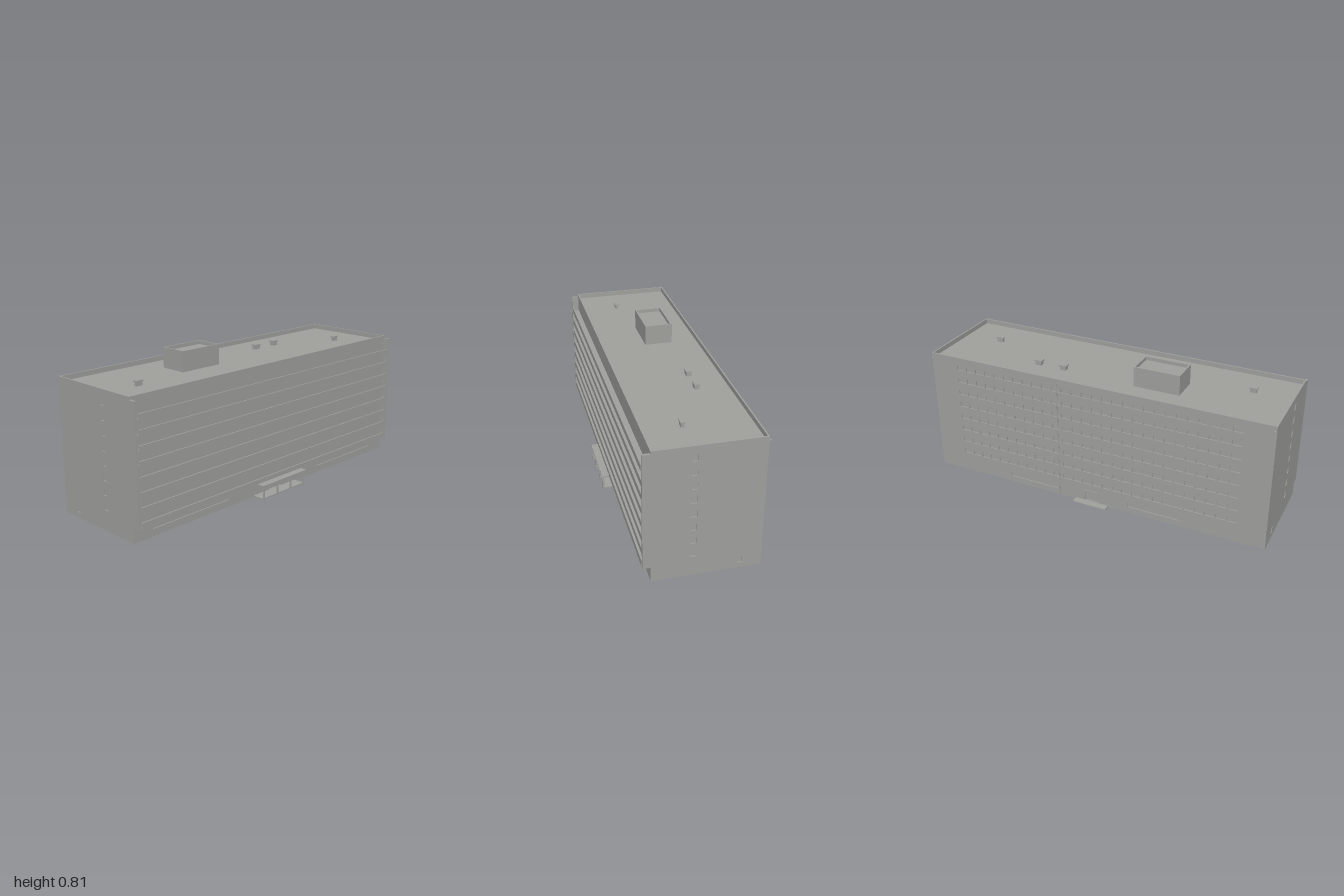
import * as THREE from 'three';

const concrete = new THREE.MeshStandardMaterial({ color: 0xa0a09d, side: THREE.DoubleSide });
concrete.name = 'concrete grey';

const FLOORS = 8, STEP = 0.077, FIRST = 0.08;
const TOP = 0.73, ROOF = 0.703, T = 0.008;

// Box given by its limits on each axis
function block(parent, name, x0, x1, y0, y1, z0, z1) {
  const mesh = new THREE.Mesh(new THREE.BoxGeometry(x1 - x0, y1 - y0, z1 - z0), concrete);
  mesh.position.set((x0 + x1) / 2, (y0 + y1) / 2, (z0 + z1) / 2);
  mesh.name = name;
  parent.add(mesh);
  return mesh;
}

// Wall with recessed openings [x0, x1, y0, y1]; its outer face looks along local +z
function wall(parent, name, width, openings, x, z, turn) {
  const group = new THREE.Group();
  group.name = name;
  const shape = new THREE.Shape([
    new THREE.Vector2(-width / 2, 0), new THREE.Vector2(width / 2, 0),
    new THREE.Vector2(width / 2, TOP), new THREE.Vector2(-width / 2, TOP),
  ]);
  for (const [x0, x1, y0, y1] of openings) {
    shape.holes.push(new THREE.Path([
      new THREE.Vector2(x0, y0), new THREE.Vector2(x0, y1),
      new THREE.Vector2(x1, y1), new THREE.Vector2(x1, y0),
    ]));
  }
  const geometry = new THREE.ExtrudeGeometry(shape, { depth: T, bevelEnabled: false });
  geometry.translate(0, 0, -T);
  const face = new THREE.Mesh(geometry, concrete);
  face.name = name + 'Face';
  group.add(face);
  for (const [x0, x1, y0, y1] of openings) {
    block(group, 'windowPane', x0, x1, y0, y1, -T, -T + 0.002);
  }
  group.position.set(x, 0, z);
  group.rotation.y = turn;
  parent.add(group);
}

// Open-topped box: four parapet walls and a sunken roof
function penthouse(parent, x0, x1, z0, z1, y0, y1) {
  const group = new THREE.Group();
  group.name = 'penthouse';
  const t = 0.008;
  block(group, 'penthouseBody', x0, x1, y0, y1 - 0.02, z0, z1);
  block(group, 'penthouseParapet', x0, x1, y1 - 0.02, y1, z1 - t, z1);
  block(group, 'penthouseParapet', x0, x1, y1 - 0.02, y1, z0, z0 + t);
  block(group, 'penthouseParapet', x0, x0 + t, y1 - 0.02, y1, z0 + t, z1 - t);
  block(group, 'penthouseParapet', x1 - t, x1, y1 - 0.02, y1, z0 + t, z1 - t);
  block(group, 'penthouseDoor', x1, x1 + 0.002, y0 + 0.01, y1 - 0.03, z1 - 0.05, z1 - 0.025);
  parent.add(group);
}

export function createModel() {
  const model = new THREE.Group();
  model.name = 'apartmentBlock';

  // Window layouts, one row per storey
  const back = [[0.22, 0.52, 0.035, 0.06], [-0.52, -0.22, 0.035, 0.06], [-0.04, 0.04, 0.01, 0.065]];
  const side = [];
  for (let i = 0; i < FLOORS; i++) {
    const y = FIRST + i * STEP;
    for (let k = 0; k < 28; k++) {
      const x = -0.84 + k * 0.06;
      back.push([x + 0.004, x + 0.056, y + 0.035, y + 0.062]);
    }
    side.push([0.055, 0.085, y + 0.03, y + 0.066]);
  }
  side.push([-0.18, -0.155, 0.03, 0.065]);
  const mirrored = side.map(([a, b, c, d]) => [-b, -a, c, d]);
  const front = [[-0.88, -0.36, 0.04, 0.065], [0.36, 0.88, 0.04, 0.065], [-0.05, 0.05, 0.009, 0.065]];

  // Hollow shell, open underneath, rising past the roof as a parapet
  wall(model, 'frontWall', 2, front, 0, 0.26, 0);
  wall(model, 'backWall', 2, back, 0, -0.3, Math.PI);
  wall(model, 'leftWall', 0.56 - 2 * T, mirrored, 1, -0.02, Math.PI / 2);
  wall(model, 'rightWall', 0.56 - 2 * T, side, -1, -0.02, -Math.PI / 2);
  block(model, 'roof', -1 + T, 1 - T, ROOF - 0.006, ROOF, -0.3 + T, 0.26 - T);

  // Balcony floors and parapets across the front
  for (let i = 0; i < FLOORS; i++) {
    const y = FIRST + i * STEP;
    block(model, 'balconyFloor', -0.985, 0.985, y, y + 0.006, 0.245, 0.296);
    block(model, 'balconyParapet', -0.98, 0.98, y, y + 0.033, 0.293, 0.3);
  }

  for (const s of [-1, 1]) {
    // Fins closing the balcony ends
    const fin = block(model, 'endFin', -0.0065, 0.0065, FIRST, 0.715, 0.26, 0.3);
    fin.position.x = s * 0.9935;
    // Roof drain spouts at the back corners
    const spout = block(model, 'drainSpout', -0.004, 0.004, 0.701, 0.706, -0.314, -0.3);
    spout.position.x = s * 0.99;
  }

  // Drainpipe on the back
  const pipe = new THREE.Mesh(new THREE.CylinderGeometry(0.003, 0.003, 0.704, 8), concrete);
  pipe.name = 'drainpipe';
  pipe.position.set(0.2, 0.352, -0.302);
  model.add(pipe);

  // Back entrance step and door trim
  block(model, 'backStep', -0.1, 0.1, 0, 0.007, -0.34, -0.3);
  block(model, 'backDoorLintel', -0.045, 0.045, 0.067, 0.075, -0.304, -0.3);

  // Front porch
  block(model, 'porchRoof', -0.18, 0.175, 0.08, 0.087, 0.26, 0.34);
  block(model, 'porchStep', -0.17, 0.165, 0, 0.008, 0.26, 0.327);
  for (const x of [-0.165, -0.056, 0.052, 0.161]) {
    block(model, 'porchColumn', x - 0.004, x + 0.004, 0, 0.08, 0.327, 0.336);
  }

  // Rooftop parts
  penthouse(model, -0.44, -0.18, -0.15, 0.005, ROOF, 0.815);
  for (const [x, z] of [[-0.775, 0.052], [0.765, 0.052], [0.25, -0.125], [0.403, -0.125]]) {
    const h = z > 0 ? 0.011 : 0.016;
    block(model, 'ventShaft', x - 0.018, x + 0.018, ROOF, 0.725, z - h + 0.003, z + h - 0.003);
    block(model, 'ventCap', x - 0.023, x + 0.023, 0.725, 0.732, z - h, z + h);
  }

  return model;
}
